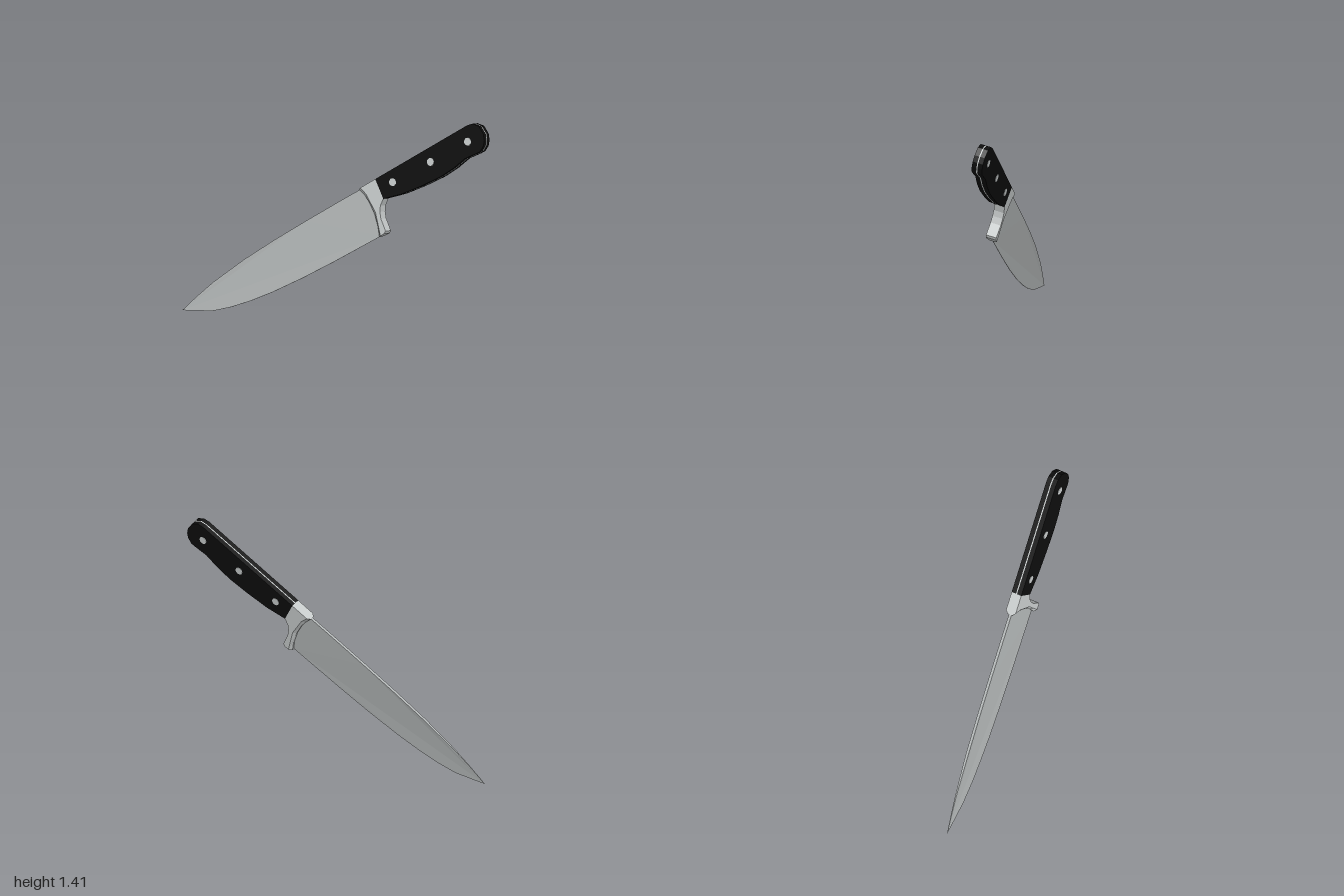
import * as THREE from 'three';

const blade = new THREE.MeshStandardMaterial({ name: 'blade steel', color: 0xb2b6b6 });
const bright = new THREE.MeshStandardMaterial({ name: 'bright steel', color: 0xc6caca });
const black = new THREE.MeshStandardMaterial({ name: 'black grip', color: 0x0d0d0d });

// Flat plate from an outline (x along the knife, y towards the spine) between two depths
function plate(points, z0, z1) {
  const shape = new THREE.Shape(points.map(([x, y]) => new THREE.Vector2(x, y)));
  return new THREE.ExtrudeGeometry(shape, { depth: z1 - z0, bevelEnabled: false }).translate(0, 0, z0);
}

// Scale the thickness of a plate by a rule on x and y
function taper(geometry, rule) {
  const p = geometry.attributes.position;
  for (let i = 0; i < p.count; i++) p.setZ(i, p.getZ(i) * rule(p.getX(i), p.getY(i)));
  geometry.computeVertexNormals();
  return geometry;
}

export function createModel() {
  const model = new THREE.Group();
  model.name = 'kitchenKnife';
  const knife = new THREE.Group();
  knife.name = 'knife';
  model.add(knife);

  const add = (name, geometry, material) => {
    const mesh = new THREE.Mesh(geometry, material);
    mesh.name = name;
    knife.add(mesh);
    return mesh;
  };

  // Blade: wedge section, thick at the spine and thin at the edge and tip
  const bladeOutline = [
    [0, 0], [0.072, -0.04], [0.192, -0.102], [0.315, -0.138], [0.449, -0.165], [0.614, -0.188],
    [0.846, -0.207], [1.083, -0.218], [1.46, -0.228], [1.5, -0.1], [1.49, 0.088],
    [1.275, 0.09], [1.033, 0.09], [0.787, 0.087], [0.537, 0.077], [0.278, 0.053], [0.13, 0.028],
  ];
  add('blade', taper(plate(bladeOutline, -1, 1), (x, y) =>
    (0.001 + 0.008 * (y + 0.23) / 0.32) * Math.min(1, 0.1 + x / 0.6)), blade);

  // Bolster: full-thickness body with a curved finger guard, chamfered towards the blade
  const HALF = 0.034;
  const front = [[1.468, 0.092], [1.486, 0.04], [1.493, -0.01], [1.492, -0.09], [1.478, -0.165], [1.454, -0.231]];
  const inner = front.map(([x, y]) => [x + 0.02, y]);
  add('bolster', plate([
    ...inner, [1.505, -0.232], [1.52, -0.222], [1.523, -0.19], [1.527, -0.14], [1.541, -0.1],
    [1.562, -0.068], [1.6, -0.04], [1.608, 0.092],
  ], -HALF, HALF), bright);
  const isFront = (x, y) => front.some(([a, b]) => Math.abs(a - x) < 1e-4 && Math.abs(b - y) < 1e-4);
  add('bolsterChamfer', taper(plate([...front, ...inner.slice().reverse()], -HALF, HALF),
    (x, y) => (isFront(x, y) ? 0.45 : 1)), bright);

  // Handle: steel tang between two black scales
  const grip = [
    [1.6, -0.04], [1.73, -0.073], [1.881, -0.092], [2.019, -0.102], [2.127, -0.097], [2.227, -0.081],
    [2.314, -0.09], [2.345, -0.091], [2.38, -0.072], [2.403, -0.045], [2.416, -0.006],
    [2.41, 0.05], [2.378, 0.084], [2.34, 0.092], [1.608, 0.092],
  ];
  const TANG = 0.0035;
  add('tang', plate(grip, -TANG, TANG), bright);
  add('leftScale', plate(grip, TANG, HALF), black);
  add('rightScale', plate(grip, -HALF, -TANG), black);

  // Rivets through the handle
  for (const [x, y] of [[1.708, 0.02], [2.004, 0.01], [2.296, 0.002]]) {
    const rivet = new THREE.CylinderGeometry(0.025, 0.025, 2 * HALF + 0.004, 10).rotateX(Math.PI / 2);
    add('rivet', rivet.translate(x, y, 0), bright);
  }

  // Lean the knife: tip down to the right, handle up to the left
  const along = new THREE.Vector3(0.8206, 0.5627, 0.1008).normalize();
  const side = new THREE.Vector3(-0.2577, 0.2068, 0.9441).normalize();
  const up = side.clone().cross(along).normalize();
  side.crossVectors(along, up);
  knife.setRotationFromMatrix(new THREE.Matrix4().makeBasis(along, up, side));
  knife.position.set(-1, 0.003, -0.153);
  return model;
}
